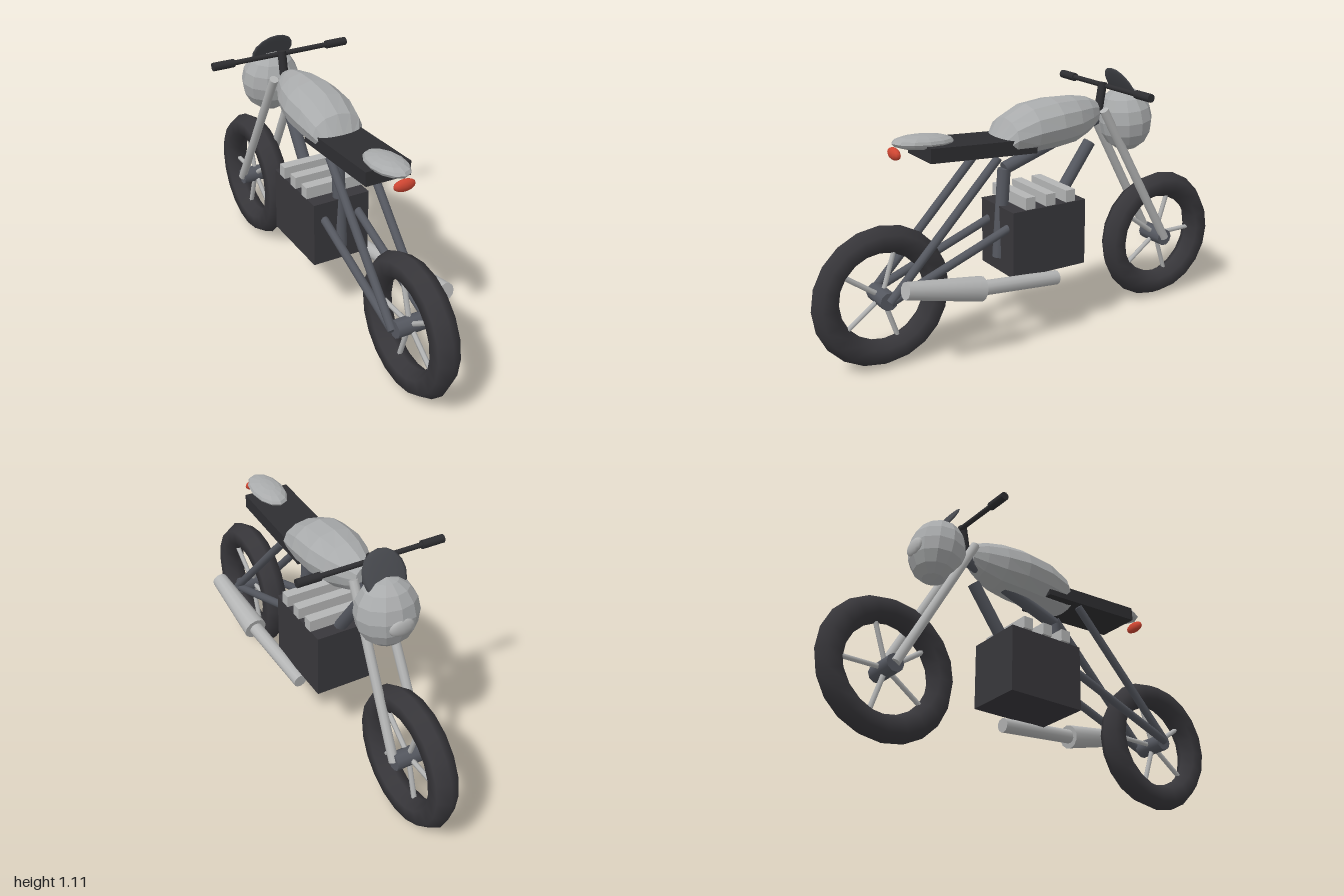
import * as THREE from 'three';

const V = (x, y, z) => new THREE.Vector3(x, y, z);
const mat = (name, color, extra = {}) => {
  const m = new THREE.MeshStandardMaterial({ color, ...extra });
  m.name = name;
  return m;
};

export function createModel() {
  const paint = mat('silver paint', 0xa9abac, { flatShading: true });
  const metal = mat('bright metal', 0xb4b5b5);
  const frameMat = mat('frame grey', 0x555860);
  const rubber = mat('tyre rubber', 0x38373b);
  const engineMat = mat('engine charcoal', 0x38373b);
  const black = mat('seat black', 0x2e2e31);
  const glass = mat('smoked screen', 0x46484d);
  const red = mat('red lens', 0xcf4632);

  const model = new THREE.Group();
  model.name = 'motorcycle';

  const add = (name, geo, material, pos = V(0, 0, 0), parent = model) => {
    const m = new THREE.Mesh(geo, material);
    m.name = name;
    m.position.copy(pos);
    parent.add(m);
    return m;
  };
  // Cylinder between two points, radius ra at a and rb at b
  const tube = (name, a, b, ra, material, rb = ra, sides = 10, parent = model) => {
    const m = add(name, new THREE.CylinderGeometry(rb, ra, a.distanceTo(b), sides), material,
      a.clone().add(b).multiplyScalar(0.5), parent);
    m.quaternion.setFromUnitVectors(V(0, 1, 0), b.clone().sub(a).normalize());
    return m;
  };
  const blob = (name, r, pos, material, ws, hs, tilt = 0) => {
    const m = add(name, new THREE.SphereGeometry(1, ws, hs), material, pos);
    m.scale.copy(r);
    m.rotation.x = tilt;
    return m;
  };

  // Wheels: tyre, hub and five spokes
  for (const [name, z] of [['rearWheel', 0.7], ['frontWheel', -0.7]]) {
    const wheel = new THREE.Group();
    wheel.name = name;
    wheel.position.set(0, 0.3, z);
    model.add(wheel);
    add('tyre', new THREE.TorusGeometry(0.242, 0.058, 6, 20), rubber, V(0, 0, 0), wheel).rotation.y = Math.PI / 2;
    tube('hub', V(-0.07, 0, 0), V(0.07, 0, 0), 0.038, frameMat, 0.038, 10, wheel);
    for (let i = 0; i < 5; i++) {
      const a = i * Math.PI * 2 / 5;
      tube('spoke', V(0, 0, 0), V(0, Math.sin(a) * 0.21, -Math.cos(a) * 0.21), 0.011, metal, 0.011, 6, wheel);
    }
  }

  // Engine block with cooling fins
  add('engineBlock', new THREE.BoxGeometry(0.26, 0.29, 0.36), engineMat, V(0, 0.445, -0.02));
  for (const z of [0.08, -0.02, -0.12])
    add('coolingFin', new THREE.BoxGeometry(0.27, 0.052, 0.046), metal, V(0, 0.62, z));

  // Central frame tubes
  tube('seatTube', V(0, 0.36, 0.155), V(0, 0.745, 0.125), 0.028, frameMat);
  tube('backbone', V(0, 0.745, 0.125), V(0, 0.9, -0.34), 0.028, frameMat);
  tube('downTube', V(0, 0.55, -0.13), V(0, 0.8, -0.31), 0.027, frameMat);

  // Paired stays, swing arm and fork legs
  for (const s of [-1, 1]) {
    tube('rearStay', V(s * 0.08, 0.3, 0.7), V(s * 0.08, 0.82, 0.2), 0.018, frameMat);
    tube('swingArm', V(s * 0.08, 0.3, 0.7), V(s * 0.08, 0.53, 0.1), 0.018, frameMat);
    tube('forkLeg', V(s * 0.068, 0.3, -0.7), V(s * 0.055, 0.945, -0.345), 0.02, metal);
  }

  // Fuel tank lofted from cross-sections: z, centre y, half width, half height
  const sections = [
    [0.172, 0.845, 0.08, 0.035], [0.12, 0.885, 0.115, 0.075], [0.02, 0.905, 0.13, 0.103],
    [-0.1, 0.914, 0.13, 0.108], [-0.2, 0.917, 0.108, 0.102], [-0.28, 0.925, 0.073, 0.08],
    [-0.335, 0.93, 0.04, 0.05],
  ];
  const N = 12, pts = [], idx = [];
  for (const [z, y, rx, ry] of sections)
    for (let i = 0; i < N; i++) {
      const a = i * Math.PI * 2 / N;
      pts.push(rx * Math.cos(a), y + ry * Math.sin(a), z);
    }
  for (let j = 0; j < sections.length - 1; j++)
    for (let i = 0; i < N; i++) {
      const a = j * N + i, b = j * N + (i + 1) % N;
      idx.push(a, a + N, b, b, a + N, b + N);
    }
  const last = (sections.length - 1) * N;
  for (let i = 1; i < N - 1; i++) idx.push(0, i, i + 1, last, last + i + 1, last + i);
  const tank = new THREE.BufferGeometry();
  tank.setAttribute('position', new THREE.Float32BufferAttribute(pts, 3));
  tank.setIndex(idx);
  tank.computeVertexNormals();
  add('fuelTank', tank, paint);

  // Seat, tail cowl and tail light
  add('seat', new THREE.BoxGeometry(0.2, 0.06, 0.49), black, V(0, 0.862, 0.267)).rotation.x = -0.055;
  blob('tailCowl', V(0.072, 0.03, 0.135), V(0, 0.912, 0.495), paint, 12, 8, -0.06);
  blob('tailLight', V(0.048, 0.025, 0.019), V(0, 0.88, 0.621), red, 12, 8);

  // Headlight cowl, lamp and small screen
  blob('headlightCowl', V(0.132, 0.143, 0.118), V(0, 0.882, -0.498), paint, 12, 8, 0.1);
  blob('headlamp', V(0.055, 0.038, 0.016), V(0, 0.87, -0.605), metal, 12, 8);
  blob('windscreen', V(0.095, 0.1, 0.01), V(0, 1.028, -0.473), glass, 12, 8, 0.56);

  // Handlebar, grips and steering stem
  tube('handlebar', V(-0.3, 1.04, -0.385), V(0.3, 1.04, -0.385), 0.011, black);
  for (const s of [-1, 1])
    tube('grip', V(s * 0.222, 1.04, -0.385), V(s * 0.32, 1.04, -0.385), 0.018, black);
  tube('steeringStem', V(0, 0.92, -0.352), V(0, 1.055, -0.376), 0.019, black);

  // Exhaust pipe and flared silencer on the left side
  tube('exhaustPipe', V(0.135, 0.265, -0.05), V(0.162, 0.312, 0.36), 0.031, metal, 0.031, 12);
  tube('silencer', V(0.162, 0.308, 0.335), V(0.18, 0.382, 0.68), 0.053, metal, 0.036, 12);

  return model;
}
